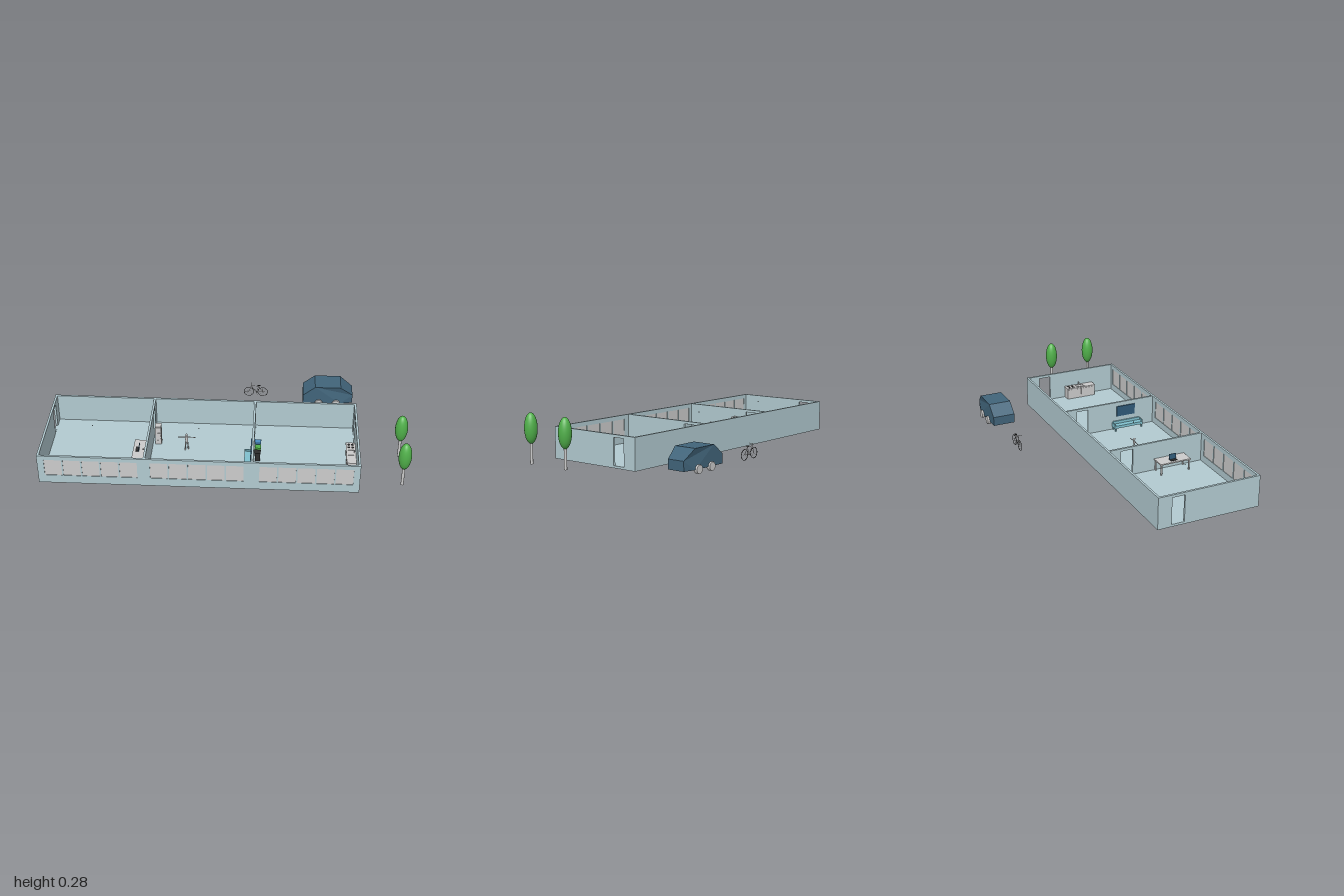
import * as THREE from 'three';

const material = (color, extra = {}) => new THREE.MeshStandardMaterial({ color, ...extra });
const GREY = material(0xcccccc);
const WALL = material(0xb2cad0);
const CAR = material(0x41647a, { flatShading: true });
const GREEN = material(0x50b04a);
const BLACK = material(0x2c2c2c);
const SCREEN = material(0x2f5a78);
const TEAL = material(0x80c0ce);
const BLUE = material(0x4a8cc0);

const FLOOR = 0.012, TOP = 0.177, T = 0.012;
const X0 = -1, X1 = 0.73, Z0 = -0.123, Z1 = 0.459;

function add(parent, name, geometry, mat, x = 0, y = 0, z = 0) {
  const mesh = new THREE.Mesh(geometry, mat);
  mesh.name = name;
  mesh.position.set(x, y, z);
  parent.add(mesh);
  return mesh;
}

// Box given by its minimum and maximum corners
function box(parent, name, mat, a, b) {
  const s = a.map((v, i) => b[i] - v), c = a.map((v, i) => (v + b[i]) / 2);
  return add(parent, name, new THREE.BoxGeometry(...s), mat, ...c);
}

// Thin round bar between two points
function bar(parent, name, mat, a, b, r = 0.0015) {
  const p = new THREE.Vector3(...a), q = new THREE.Vector3(...b);
  const mesh = add(parent, name, new THREE.CylinderGeometry(r, r, p.distanceTo(q), 8), mat);
  mesh.position.copy(p).add(q).multiplyScalar(0.5);
  mesh.quaternion.setFromUnitVectors(new THREE.Vector3(0, 1, 0), q.sub(p).normalize());
  return mesh;
}

function group(parent, name) {
  const g = new THREE.Group();
  g.name = name;
  parent.add(g);
  return g;
}

// Wall panel from u0 to u1, with rectangular holes [u0, y0, u1, y1]
function panel(u0, u1, holes) {
  const rect = (path, a, b, c, d) => path.moveTo(a, b).lineTo(c, b).lineTo(c, d).lineTo(a, d).closePath();
  const shape = rect(new THREE.Shape(), u0, FLOOR, u1, TOP);
  for (const h of holes) shape.holes.push(rect(new THREE.Path(), ...h));
  return new THREE.ExtrudeGeometry(shape, { depth: T, bevelEnabled: false });
}

function buildHouse(root) {
  const g = group(root, 'building');
  box(g, 'floor', WALL, [X0, 0, Z0], [X1, FLOOR, Z1]);
  box(g, 'backWall', WALL, [X0, FLOOR, Z0], [X1, TOP, Z0 + T]);

  // Front wall: three rows of five windows
  const windows = [];
  for (const start of [-0.963, -0.392, 0.193])
    for (let i = 0; i < 5; i++) windows.push([start + i * 0.102, 0.051, start + i * 0.102 + 0.094, 0.152]);
  add(g, 'frontWall', panel(X0, X1, windows), WALL, 0, 0, Z1 - T);
  for (const [a, b, c, d] of windows)
    box(g, 'windowPane', GREY, [a, b, Z1 - T + 0.003], [c, d, Z1 - 0.003]);

  // Side walls and partitions, with doorways in line
  for (const [name, x] of [['rightWall', X0 + T], ['partition', -0.417], ['partition', 0.159], ['leftWall', X1]])
    add(g, name, panel(Z0 + T, Z1 - T, [[-0.045, FLOOR + 0.001, 0.027, 0.162]]), WALL, x).rotation.y = -Math.PI / 2;

  // Small lamp tips
  for (const x of [-0.74, -0.15]) add(g, 'lampTip', new THREE.SphereGeometry(0.003, 8, 6), BLACK, x, 0.18, 0.17);
}

function buildDesk(root) {
  const g = group(root, 'desk');
  box(g, 'deskTop', GREY, [-0.51, 0.072, 0.155], [-0.43, 0.079, 0.338]);
  for (const x of [-0.507, -0.44]) for (const z of [0.159, 0.327])
    box(g, 'deskLeg', GREY, [x, FLOOR, z], [x + 0.007, 0.072, z + 0.007]);
  box(g, 'laptopBase', BLACK, [-0.496, 0.079, 0.224], [-0.476, 0.082, 0.262]);
  const lid = box(g, 'laptopScreen', SCREEN, [-0.478, 0.081, 0.222], [-0.475, 0.112, 0.264]);
  lid.rotation.z = -0.12;
  box(g, 'mouse', BLACK, [-0.457, 0.079, 0.237], [-0.451, 0.082, 0.242]);
}

function buildCabinet(root) {
  const g = group(root, 'filingCabinet');
  box(g, 'cabinetBody', GREY, [-0.403, FLOOR, 0.064], [-0.369, 0.132, 0.1]);
  for (let i = 0; i < 3; i++) {
    const y = 0.017 + i * 0.038;
    box(g, 'drawer', GREY, [-0.4, y, 0.1], [-0.372, y + 0.034, 0.102]);
    box(g, 'drawerHandle', GREY, [-0.391, y + 0.02, 0.102], [-0.381, y + 0.023, 0.104]);
  }
}

// Small figure with arms spread
function buildFigure(root) {
  const g = group(root, 'figure');
  g.position.set(-0.222, FLOOR, 0.14);
  for (const s of [-1, 1]) {
    bar(g, 'leg', GREY, [s * 0.009, 0, 0], [s * 0.005, 0.053, 0], 0.0035);
    bar(g, 'arm', GREY, [s * 0.008, 0.086, 0], [s * 0.049, 0.084, 0], 0.0022);
    box(g, 'foot', GREY, [s * 0.009 - 0.003, 0, -0.003], [s * 0.009 + 0.003, 0.003, 0.009]);
  }
  add(g, 'torso', new THREE.CylinderGeometry(0.01, 0.007, 0.038, 10), GREY, 0, 0.07, 0).scale.z = 0.5;
  add(g, 'head', new THREE.SphereGeometry(0.007, 12, 8), GREY, 0, 0.1, 0);
}

function buildLounge(root) {
  const g = group(root, 'bench');
  box(g, 'seat', TEAL, [0.105, 0.03, 0.18], [0.146, 0.046, 0.362]);
  box(g, 'backrest', TEAL, [0.138, 0.046, 0.186], [0.146, 0.062, 0.356]);
  for (const z of [0.18, 0.356]) box(g, 'armrest', TEAL, [0.105, 0.046, z], [0.146, 0.056, z + 0.006]);
  for (const x of [0.108, 0.138]) for (const z of [0.184, 0.352])
    box(g, 'benchLeg', TEAL, [x, FLOOR, z], [x + 0.006, 0.03, z + 0.006]);
  box(root, 'wallScreen', SCREEN, [0.141, 0.09, 0.21], [0.147, 0.152, 0.326]);
}

function buildBins(root) {
  for (const [mat, z] of [[BLUE, 0.118], [GREEN, 0.167], [BLACK, 0.215]]) {
    const g = group(root, 'wasteBin');
    box(g, 'binBody', mat, [0.164, FLOOR, z - 0.014], [0.192, 0.06, z + 0.014]);
    box(g, 'binLid', mat, [0.161, 0.06, z - 0.017], [0.195, 0.068, z + 0.017]);
  }
}

function buildKitchen(root) {
  const g = group(root, 'kitchenCounter');
  box(g, 'cupboards', GREY, [0.671, FLOOR, 0.126], [0.718, 0.076, 0.309]);
  box(g, 'worktop', GREY, [0.666, 0.076, 0.124], [0.718, 0.082, 0.311]);
  for (let i = 0; i < 4; i++)
    box(g, 'cupboardDoor', GREY, [0.669, 0.017, 0.13 + i * 0.044], [0.671, 0.072, 0.171 + i * 0.044]);
  for (const x of [0.682, 0.702]) for (const z of [0.143, 0.168])
    add(g, 'burner', new THREE.CylinderGeometry(0.007, 0.007, 0.003, 16), BLACK, x, 0.083, z);
  // Sink rim and bowl
  for (const z of [0.192, 0.237]) box(g, 'sinkRim', GREY, [0.672, 0.082, z], [0.708, 0.085, z + 0.003]);
  for (const x of [0.672, 0.705]) box(g, 'sinkRim', GREY, [x, 0.082, 0.192], [x + 0.003, 0.085, 0.24]);
  bar(g, 'tap', GREY, [0.71, 0.082, 0.216], [0.71, 0.1, 0.216]);
  bar(g, 'spout', GREY, [0.711, 0.1, 0.216], [0.695, 0.1, 0.216]);
}

function buildTree(root, z) {
  const g = group(root, 'tree');
  g.position.set(0.963, 0, z);
  add(g, 'trunk', new THREE.CylinderGeometry(0.008, 0.008, 0.115, 20), GREY, 0, 0.07, 0);
  add(g, 'crown', new THREE.SphereGeometry(0.035, 32, 24), GREEN, 0, 0.202, 0).scale.y = 2.35;
}

function buildCar(root) {
  const g = group(root, 'car');
  g.position.z = -0.387;
  // Side profile, extruded across and narrowed at the nose
  const profile = [[0.43, 0.037], [0.65, 0.037], [0.722, 0.037], [0.722, 0.09], [0.65, 0.146], [0.5, 0.146], [0.43, 0.09]];
  const body = new THREE.ExtrudeGeometry(new THREE.Shape(profile.map(p => new THREE.Vector2(...p))), { depth: 0.13, bevelEnabled: false });
  body.translate(0, 0, -0.065);
  const p = body.attributes.position;
  for (let i = 0; i < p.count; i++) if (p.getX(i) > 0.7) p.setZ(i, p.getZ(i) * 0.78);
  body.computeVertexNormals();
  add(g, 'carBody', body, CAR);
  for (const x of [0.524, 0.626]) for (const s of [-1, 1])
    add(g, 'wheel', new THREE.CylinderGeometry(0.023, 0.023, 0.021, 24), GREY, x, 0.038, s * 0.065).rotation.x = Math.PI / 2;
}

function buildBicycle(root) {
  const g = group(root, 'bicycle');
  g.position.z = -0.415;
  const front = [0.107, 0.042, 0], rear = [0.19, 0.042, 0], crank = [0.152, 0.038, 0];
  const seat = [0.165, 0.082, 0], head = [0.121, 0.082, 0];
  for (const c of [front, rear]) {
    add(g, 'tyre', new THREE.TorusGeometry(0.029, 0.0015, 6, 32), BLACK, ...c);
    for (let i = 0; i < 4; i++) {
      const x = 0.029 * Math.cos(i * Math.PI / 4), y = 0.029 * Math.sin(i * Math.PI / 4);
      bar(g, 'spokes', GREY, [c[0] - x, c[1] - y, 0], [c[0] + x, c[1] + y, 0], 0.0003);
    }
  }
  const tubes = [[front, head], [head, seat], [head, crank], [crank, seat], [crank, rear], [rear, seat]];
  for (const [a, b] of tubes) bar(g, 'frameTube', GREY, a, b, 0.0014);
  bar(g, 'stem', GREY, head, [0.124, 0.095, 0], 0.0013);
  bar(g, 'handlebar', GREY, [0.124, 0.095, -0.02], [0.124, 0.095, 0.02], 0.0013);
  box(g, 'saddle', BLACK, [0.157, 0.084, -0.004], [0.175, 0.088, 0.004]);
  bar(g, 'pedalArm', GREY, [0.152, 0.038, 0.008], [0.16, 0.025, 0.008], 0.001);
  bar(g, 'pedalArm', GREY, [0.152, 0.038, -0.008], [0.144, 0.051, -0.008], 0.001);
  bar(g, 'pedalAxle', GREY, [0.152, 0.038, -0.008], [0.152, 0.038, 0.008], 0.001);
}

export function createModel() {
  const root = new THREE.Group();
  root.name = 'buildingWithGrounds';
  for (const build of [buildHouse, buildDesk, buildCabinet, buildFigure, buildLounge, buildBins, buildKitchen, buildCar, buildBicycle]) build(root);
  for (const z of [0.14, 0.392]) buildTree(root, z);
  return root;
}
